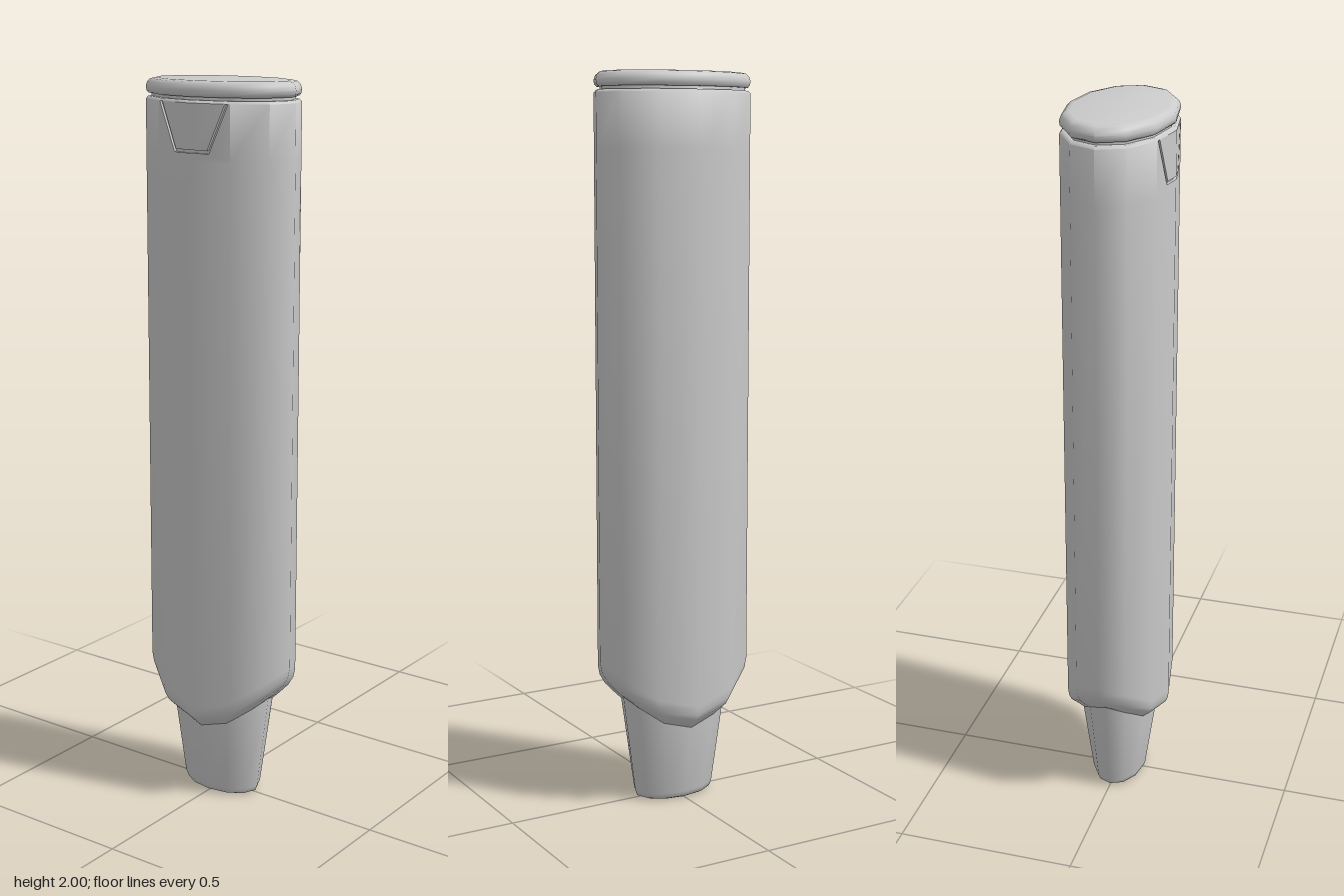
import * as THREE from 'three';
import { toCreasedNormals } from 'three/addons/utils/BufferGeometryUtils.js';

const SIDES = 12, RX = 0.23, RZ = 0.145;
const grey = new THREE.MeshStandardMaterial({ color: 0xcccccc });

// Skins elliptical rings [y at front, extra y at the sides, x radius, z radius], listed bottom to top.
function loft(name, rings, crease, skip = () => false) {
  const pos = [], idx = [];
  for (const [y, lift, rx, rz] of rings) {
    for (let i = 0; i < SIDES; i++) {
      const t = (i / SIDES) * Math.PI * 2, s = Math.sin(t);
      pos.push(rx * s, y + lift * s * s, rz * Math.cos(t));
    }
  }
  for (let r = 0; r < rings.length - 1; r++) {
    for (let i = 0; i < SIDES; i++) {
      if (skip(r, i)) continue;
      const j = (i + 1) % SIDES;
      const a = r * SIDES + i, b = r * SIDES + j, c = b + SIDES, d = a + SIDES;
      idx.push(a, b, c, a, c, d);
    }
  }
  const geo = new THREE.BufferGeometry();
  geo.setAttribute('position', new THREE.Float32BufferAttribute(pos, 3));
  geo.setIndex(idx);
  const mesh = new THREE.Mesh(toCreasedNormals(geo, crease), grey);
  mesh.name = name;
  return mesh;
}

// Flat outline laid on one of the two front facets, with thickness going inwards.
function facetPiece(name, outline, side, depth, sink = 0) {
  const shape = new THREE.Shape(outline.map(([x, y]) => new THREE.Vector2(x * side, y)));
  const geo = new THREE.ExtrudeGeometry(shape, { depth, bevelEnabled: false });
  const p = geo.attributes.position, n = geo.attributes.normal;
  const slope = RZ * (1 - Math.cos(Math.PI / 6)) / (RX * 0.5);
  const v = new THREE.Vector3();
  for (let i = 0; i < p.count; i++) {
    const x = p.getX(i), z = RZ - slope * Math.abs(x);
    p.setZ(i, p.getZ(i) - depth - sink + z);
    if (n.getZ(i) > 0.9) {
      v.set(x / (RX * RX), 0, z / (RZ * RZ)).normalize();
      n.setXYZ(i, v.x, v.y, v.z);
    }
  }
  const mesh = new THREE.Mesh(geo, grey);
  mesh.name = name;
  return mesh;
}

export function createModel() {
  const group = new THREE.Group();
  const top = 1.945, panelBase = 1.8;

  // Tapered neck with a small outlet hole underneath
  group.add(loft('neck', [
    [0.04, 0, 0, 0],
    [0.04, 0, 0.006, 0.006],
    [0, 0, 0.006, 0.006],
    [0, 0, 0.104, 0.062],
    [0.005, 0, 0.115, 0.071],
    [0.02, 0, 0.121, 0.076],
    [0.215, 0.085, 0.158, 0.104],
    [0.24, 0.085, 0.161, 0.106],
  ], 0.9));

  // Long body with shoulders that rise towards the sides; two front facets are left open for the panel
  group.add(loft('body', [
    [0.213, 0.085, 0.156, 0.102],
    [0.228, 0.085, 0.173, 0.118],
    [0.246, 0.104, 0.207, 0.137],
    [0.262, 0.118, 0.224, 0.143],
    [0.285, 0.125, RX, RZ],
    [panelBase, 0, RX, RZ],
    [top, 0, RX, RZ],
    [1.952, 0, 0.223, 0.139],
    [1.952, 0, 0.214, 0.131],
    [1.962, 0, 0.214, 0.131],
  ], 0.9, (r, i) => r === 5 && (i === 0 || i === SIDES - 1)));

  // Trapezoid panel outlined by a narrow groove at the top of the front
  for (const side of [1, -1]) {
    group.add(
      facetPiece('panelSurround', [[0, panelBase], [0.115, panelBase], [0.115, top],
        [0.109, top], [0.055, 1.819], [0, 1.819]], side, 0.008),
      facetPiece('panel', [[0, 1.827], [0.05, 1.827], [0.1, top], [0, top]], side, 0.008),
      facetPiece('panelGroove', [[0, 1.815], [0.06, 1.815], [0.112, top], [0, top]], side, 0.004, 0.008),
    );
  }

  // Rounded lid
  group.add(loft('lid', [
    [1.96, 0, 0.212, 0.129],
    [1.96, 0, 0.222, 0.138],
    [1.966, 0, 0.228, 0.143],
    [1.977, 0, RX, RZ],
    [1.989, 0, 0.226, 0.141],
    [1.997, 0, 0.217, 0.133],
    [2, 0, 0.203, 0.12],
    [2, 0, 0, 0],
  ], 0.9));

  return group;
}
